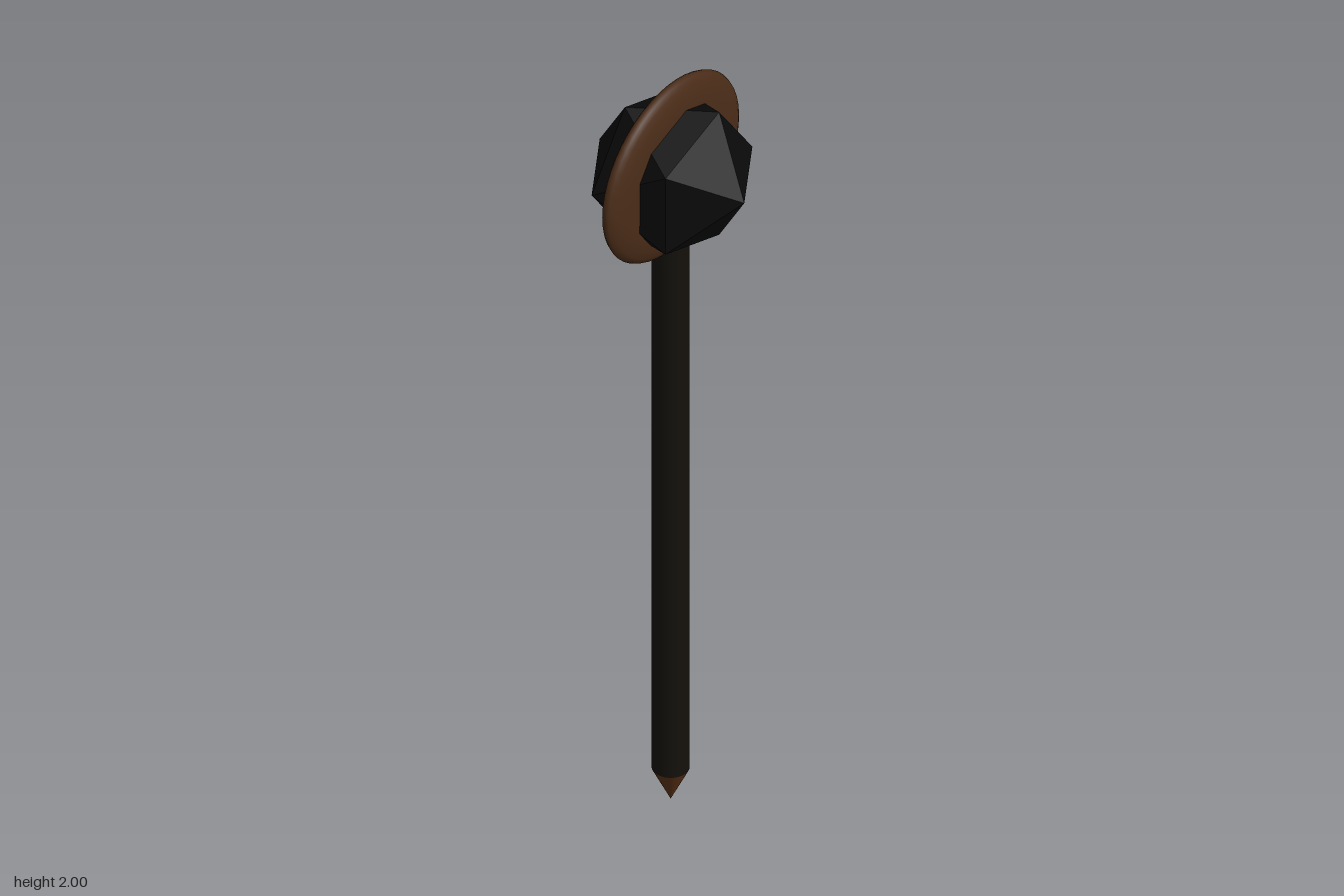
import * as THREE from 'three';

export function createModel() {
  const model = new THREE.Group();

  function addPart(name, geometry, color, x, y, flatShading = false) {
    const material = new THREE.MeshStandardMaterial({ color, flatShading });
    const mesh = new THREE.Mesh(geometry, material);
    mesh.name = name;
    mesh.position.set(x, y, 0);
    model.add(mesh);
    return mesh;
  }

  // Long straight handle, its top buried in the head
  const shaftBottom = 0.09, shaftTop = 1.66, shaftRadius = 0.043;
  const shaftLength = shaftTop - shaftBottom;
  addPart('shaft', new THREE.CylinderGeometry(shaftRadius, shaftRadius, shaftLength, 24),
    0x14110c, 0, shaftBottom + shaftLength / 2);

  // Pointed foot, apex down
  const tip = new THREE.ConeGeometry(shaftRadius, shaftBottom, 24);
  tip.rotateX(Math.PI);
  addPart('tip', tip, 0x5c3317, 0, shaftBottom / 2);

  // Faceted head, turned so that one corner points forward and one ring corner to +x
  const head = new THREE.IcosahedronGeometry(0.202, 0);
  const golden = (1 + Math.sqrt(5)) / 2;
  head.rotateX(Math.atan(1 / golden));
  head.rotateZ(Math.PI / 2);
  addPart('headStone', head, 0x0a0a0a, 0.005, 1.757, true);

  // Flattened oval ring around the head
  const ring = new THREE.TorusGeometry(0.16, 0.09, 20, 48);
  ring.scale(1, 0.91, 0.31);
  addPart('headRing', ring, 0x4a2c18, 0, 1.7725);

  return model;
}
